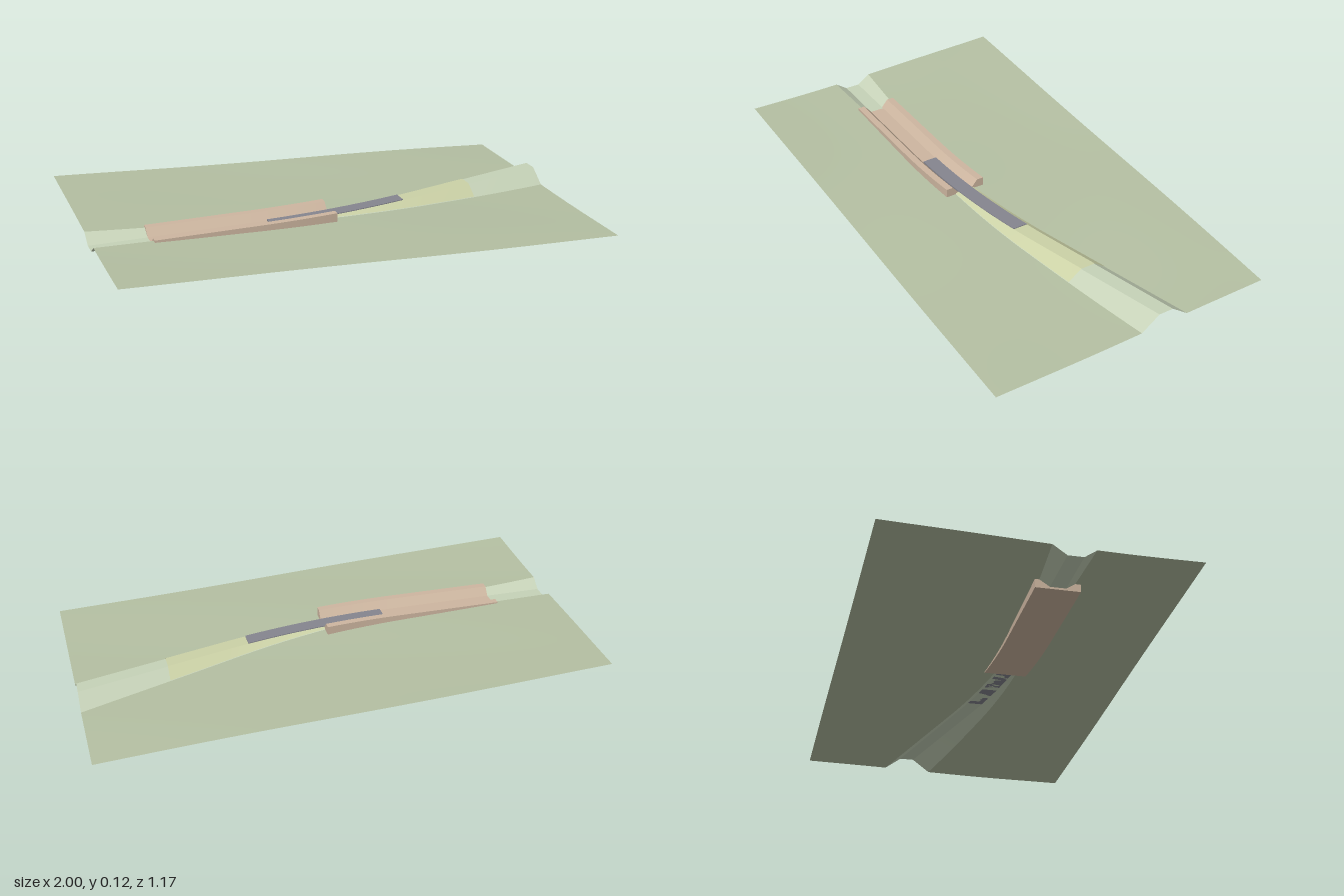
import * as THREE from 'three';
import { toCreasedNormals } from 'three/addons/utils/BufferGeometryUtils.js';

const LEVEL = 0.066;   // height of the roadbed
const HALF = 0.03;     // half width of the roadbed
const EDGE = 0.585;    // half depth of the ground

// Gently rolling hillside falling towards +x
const ground = (x, z) =>
  0.0585 - 0.046 * x - 0.017 * z + 0.01 * z * z * (1 - x)
  + 0.0025 * Math.sin(4 * x + 3 * z + 1) + 0.0015 * Math.sin(7 * z - 3 * x);

// Route: straight, then a curve, then straight again
function route(x) {
  const t = Math.max(0, x + 0.35);
  return t < 0.75 ? 0.11 - 0.167 * t * t : 0.11 - 0.094 - 0.25 * (t - 0.75);
}

// Where the earthwork slope meets the ground on one side (-1 or 1)
function toe(x, side) {
  let z = route(x);
  for (let i = 0; i < 6; i++) {
    z = route(x) + side * (HALF + 0.008 + 1.2 * Math.abs(ground(x, z) - LEVEL));
  }
  return z;
}

function range(a, b, n) {
  return Array.from({ length: n + 1 }, (_, i) => a + (b - a) * i / n);
}

// Skin a row of cross-sections; section(x) gives [z, y] points
function loft(xs, section, closed = false) {
  const rows = xs.map(section);
  const n = rows[0].length;
  const pos = [], index = [];
  rows.forEach((row, i) => row.forEach(([z, y]) => pos.push(xs[i], y, z)));
  for (let i = 0; i < xs.length - 1; i++) {
    for (let j = 0; j < (closed ? n : n - 1); j++) {
      const a = i * n + j, b = i * n + (j + 1) % n;
      index.push(a, b, a + n, b, b + n, a + n);
    }
  }
  if (closed) {
    const faces = THREE.ShapeUtils.triangulateShape(
      rows[0].map(([z, y]) => new THREE.Vector2(z, y)), []);
    const last = (xs.length - 1) * n;
    for (const [a, b, c] of faces) index.push(a, b, c, last + a, last + c, last + b);
  }
  const g = new THREE.BufferGeometry();
  g.setAttribute('position', new THREE.Float32BufferAttribute(pos, 3));
  g.setIndex(index);
  g.computeVertexNormals();
  return g;
}

// Earthwork section: toe, shoulder, shoulder, toe
const earthwork = (lift) => (x) => {
  const c = route(x), n = toe(x, -1), s = toe(x, 1);
  return [
    [n, ground(x, n) + lift], [c - HALF, LEVEL + lift],
    [c + HALF, LEVEL + lift], [s, ground(x, s) + lift],
  ];
};

export function createModel() {
  const model = new THREE.Group();

  function add(name, geometry, color, parent = model) {
    const material = new THREE.MeshStandardMaterial({ color, side: THREE.DoubleSide });
    const mesh = new THREE.Mesh(geometry, material);
    mesh.name = name;
    parent.add(mesh);
    return mesh;
  }
  const crease = (g) => toCreasedNormals(g, 0.35);

  // Ground on both sides of the route
  const terrain = new THREE.Group();
  terrain.name = 'terrain';
  model.add(terrain);
  const xs = range(-1, 1, 80);
  const strip = (from, to) => loft(xs, (x) =>
    range(from(x), to(x), 24).map((z) => [z, ground(x, z)]));
  add('backGround', strip(() => -EDGE, (x) => toe(x, -1)), 0xb4bfa2, terrain);
  add('frontGround', strip((x) => toe(x, 1), () => EDGE), 0xb4bfa2, terrain);

  // Open cutting at the high end, embankment at the low end
  add('cutting', crease(loft(range(-1, -0.76, 12), earthwork(0))), 0xc6d2b8);
  add('embankment', crease(loft(range(-0.03, 1, 50), earthwork(0))), 0xc6d2b8);

  // Transition fill laid over the start of the embankment
  add('transitionFill', crease(loft(range(-0.03, 0.64, 34), earthwork(0.003))), 0xcbd1a6);

  // Retaining trough with thick walls and sloping inner faces
  const trough = (x) => [
    [-0.085, 0.097], [-0.057, 0.097], [-HALF, LEVEL], [HALF, LEVEL],
    [0.057, 0.097], [0.085, 0.097], [0.085, 0.058], [-0.085, 0.058],
  ].map(([dz, y]) => [route(x) + dz, y]);
  add('retainingTrough', crease(loft(range(-0.77, -0.03, 36), trough, true)), 0xcdb6a0);

  // Paved strip from inside the trough onto the fill
  const paving = (x) => {
    const c = route(x), top = LEVEL + 0.006, w = HALF;
    return [[c - w, top], [c + w, top], [c + w, LEVEL], [c - w, LEVEL]];
  };
  add('pavedStrip', crease(loft(range(-0.29, 0.3, 30), paving, true)), 0x85858f);

  return model;
}
